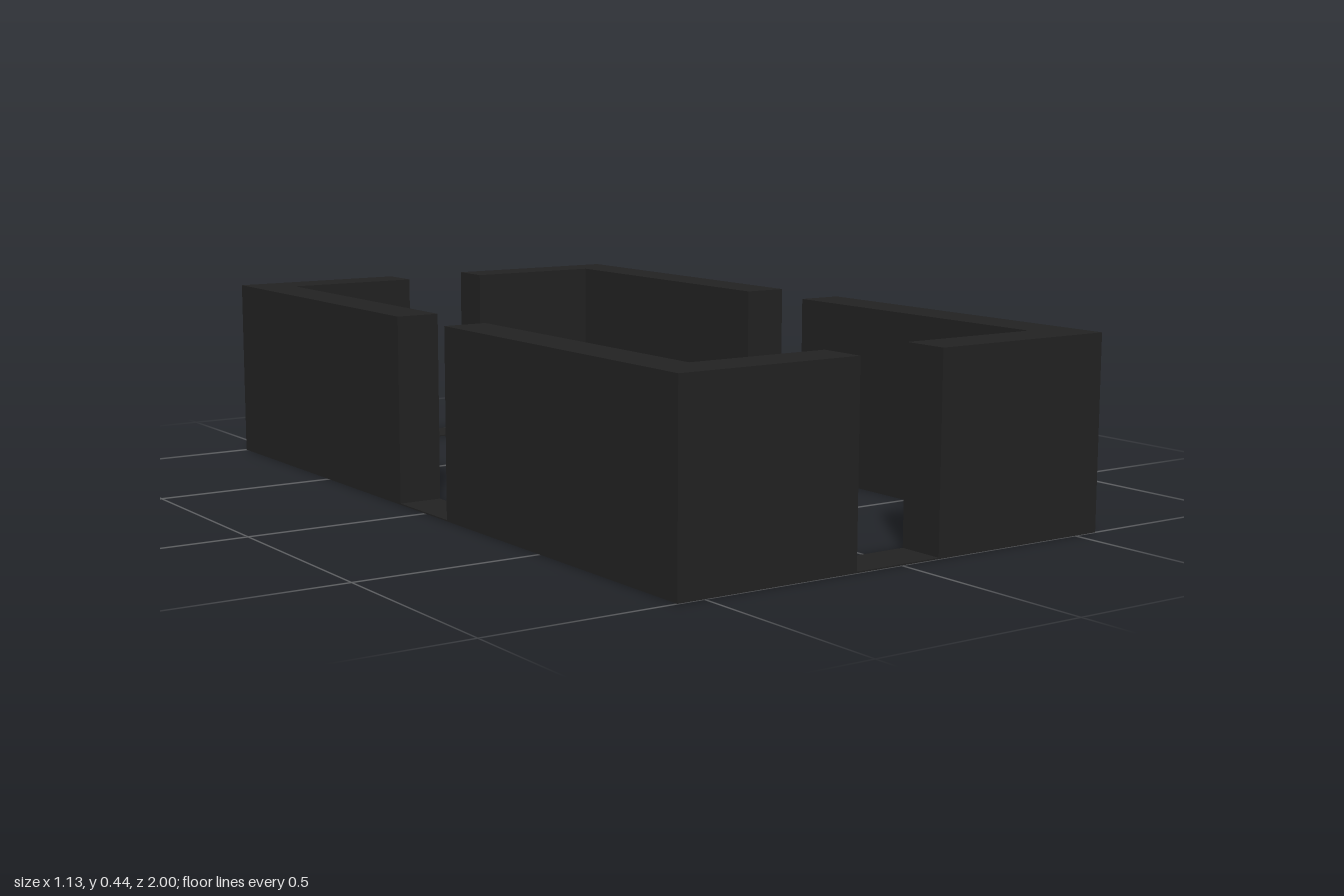
import * as THREE from 'three';

const OUT = { x: 0.563, z: 1 };
const IN = { left: 0.453, right: -0.458, front: 0.888, back: -0.893 };
const GAP = { min: -0.119, max: 0.102 };
const HEIGHT = 0.443;
const SILL = 0.003;

export function createModel() {
  const model = new THREE.Group();
  model.name = 'walledEnclosure';
  const charcoal = new THREE.MeshStandardMaterial({ color: 0x222222 });
  charcoal.name = 'charcoal';

  // Upright block from a floor plan given as [x, z] points
  const addPlan = (name, points, height) => {
    const shape = new THREE.Shape(points.map(([x, z]) => new THREE.Vector2(x, -z)));
    const geometry = new THREE.ExtrudeGeometry(shape, { depth: height, bevelEnabled: false });
    geometry.rotateX(-Math.PI / 2);
    const mesh = new THREE.Mesh(geometry, charcoal);
    mesh.name = name;
    model.add(mesh);
  };

  // Four L-shaped corner walls, each ending at the doorways
  for (const [xName, sx] of [['Left', 1], ['Right', -1]]) {
    for (const [zName, sz] of [['front', 1], ['back', -1]]) {
      const ox = sx * OUT.x, oz = sz * OUT.z;
      const ix = sx > 0 ? IN.left : IN.right;
      const iz = sz > 0 ? IN.front : IN.back;
      const gx = sx > 0 ? GAP.max : GAP.min;
      const gz = sz > 0 ? GAP.max : GAP.min;
      addPlan(`${zName}${xName}CornerWall`,
        [[ox, oz], [gx, oz], [gx, iz], [ix, iz], [ix, gz], [ox, gz]], HEIGHT);
    }
  }

  // Thin sills across the four doorways
  const addSill = (name, x0, x1, z0, z1) =>
    addPlan(name, [[x0, z0], [x1, z0], [x1, z1], [x0, z1]], SILL);
  addSill('frontSill', GAP.min, GAP.max, IN.front, OUT.z);
  addSill('backSill', GAP.min, GAP.max, -OUT.z, IN.back);
  addSill('leftSill', IN.left, OUT.x, GAP.min, GAP.max);
  addSill('rightSill', -OUT.x, IN.right, GAP.min, GAP.max);

  return model;
}
